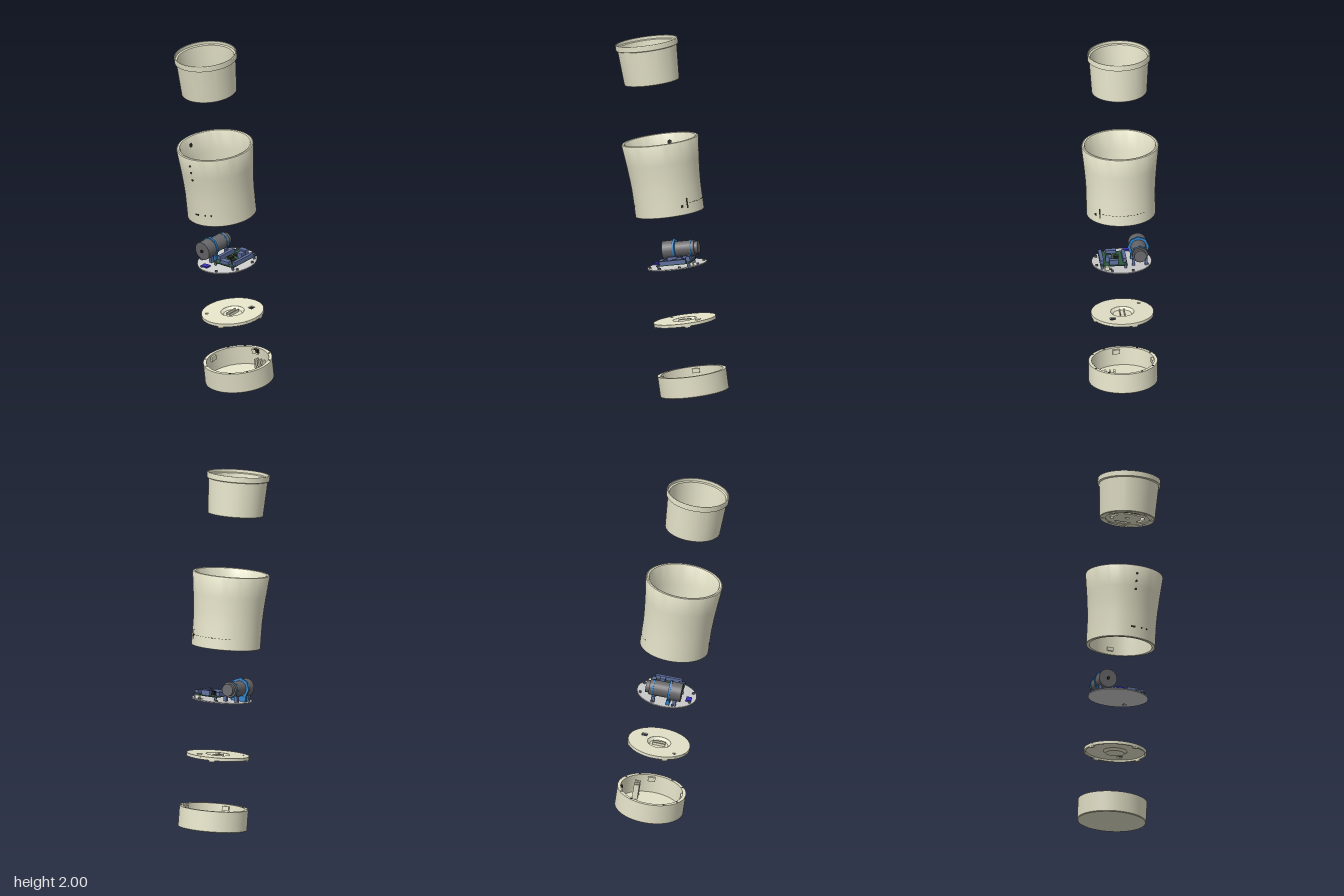
import * as THREE from 'three';
import { toCreasedNormals } from 'three/addons/utils/BufferGeometryUtils.js';

const mat = (color) => new THREE.MeshStandardMaterial({ color });
const cream = mat(0xe4e2c8), grey = mat(0xcccccc), dark = mat(0x2c2a22), steel = mat(0x666669),
  blue = mat(0x2f7fc4), slate = mat(0x5c6c9c), green = mat(0x2f5a40), purple = mat(0x3a30c0);
const RAD = Math.PI / 180;

function add(parent, name, geo, material, x = 0, y = 0, z = 0) {
  const m = new THREE.Mesh(geo, material);
  m.name = name;
  m.position.set(x, y, z);
  parent.add(m);
  return m;
}
const box = (p, name, material, w, h, d, x, y, z) =>
  add(p, name, new THREE.BoxGeometry(w, h, d), material, x, y, z);
const cyl = (p, name, material, r, h, x, y, z, n = 24) =>
  add(p, name, new THREE.CylinderGeometry(r, r, h, n), material, x, y, z);

// closed ring section, listed up the outside and down the inside
function ring(p, name, pts, material = cream) {
  const v = [...pts, pts[0]].map(([r, y]) => new THREE.Vector2(r, y));
  return add(p, name, toCreasedNormals(new THREE.LatheGeometry(v, 72), 0.5), material);
}

// places a part at an angle round the axis, 0 = front, 90 = left
function around(mesh, deg, r, y) {
  mesh.position.set(r * Math.sin(deg * RAD), y, r * Math.cos(deg * RAD));
  mesh.rotation.y = deg * RAD;
  return mesh;
}

const circle = (x, y, r) => new THREE.Path().absarc(x, y, r, 0, Math.PI * 2, true);

// flat disc with holes, bottom at y
function disc(p, name, r, thick, holes, y, material = cream) {
  const s = new THREE.Shape().absarc(0, 0, r, 0, Math.PI * 2, false);
  s.holes.push(...holes);
  const g = new THREE.ExtrudeGeometry(s, { depth: thick, bevelEnabled: false, curveSegments: 32 });
  g.rotateX(-Math.PI / 2);
  return add(p, name, toCreasedNormals(g, 0.5), material, 0, y, 0);
}

// curved slot with round ends
function arcSlot(mid, r, half, w) {
  const a = mid - half, b = mid + half, path = new THREE.Path();
  path.absarc(0, 0, r + w, a, b, false);
  path.absarc(r * Math.cos(b), r * Math.sin(b), w, b, b + Math.PI, false);
  path.absarc(0, 0, r - w, b, a, true);
  path.absarc(r * Math.cos(a), r * Math.sin(a), w, a + Math.PI, a + 2 * Math.PI, false);
  return path;
}

function group(parent, name, y) {
  const g = new THREE.Group();
  g.name = name;
  g.position.y = y;
  parent.add(g);
  return g;
}

function buildBase(root) {
  const g = group(root, 'baseCup', 0);
  ring(g, 'baseWall', [[0.186, 0], [0.19, 0.004], [0.19, 0.117], [0.172, 0.117], [0.172, 0.012], [0.172, 0]]);
  disc(g, 'baseFloor', 0.174, 0.012, [], 0);
  for (let i = 0; i < 12; i++) {
    if (i % 3) around(cyl(g, 'screwHole', dark, 0.006, 0.002, 0, 0, 0, 12), i * 30, 0.181, 0.117);
    else around(box(g, 'wallLug', cream, 0.04, 0.025, 0.014, 0, 0, 0), i * 30 + 8, 0.167, 0.094);
  }
  // bracket posts
  for (const x of [0.055, 0.08, 0.105]) box(g, 'bracketPost', cream, 0.01, 0.09, 0.03, x, 0.055, -0.09);
  box(g, 'bracketBridge', cream, 0.06, 0.05, 0.012, 0.08, 0.035, -0.09);
  box(g, 'backClip', dark, 0.03, 0.02, 0.012, -0.015, 0.1, -0.165);
}

function buildLid(root) {
  const g = group(root, 'innerLid', 0.4);
  const square = new THREE.Path([[0.045, 0.075], [0.045, 0.105], [0.075, 0.105], [0.075, 0.075]]
    .map(([x, y]) => new THREE.Vector2(x, y)));
  disc(g, 'lidPlate', 0.172, 0.007, [circle(0, 0, 0.065), square, circle(-0.1, -0.1, 0.009)], 0.005);
  ring(g, 'lidLip', [[0.172, -0.005], [0.172, 0.006], [0.162, 0.006], [0.162, -0.005]]);
  // shallow centre dish with two fins
  ring(g, 'lidDish', [[0, -0.007], [0.052, -0.007], [0.066, 0.005], [0.066, 0.012], [0.05, -0.002], [0, -0.002]]);
  for (const s of [-1, 1]) box(g, 'dishFin', cream, 0.006, 0.014, 0.07, s * 0.012, 0.005, 0);
  for (const a of [20, 110, 200, 290]) around(box(g, 'lidLug', cream, 0.03, 0.012, 0.012, 0, 0, 0), a, 0.165, -0.007);
}

function buildElectronics(root) {
  const g = group(root, 'electronics', 0.715);
  disc(g, 'mountPlate', 0.165, 0.006, [circle(0.075, 0.1, 0.012)], -0.003, grey);
  for (let i = 0; i < 8; i++) around(cyl(g, 'plateScrew', steel, 0.007, 0.012, 0, 0, 0, 12), i * 45 + 20, 0.15, 0.006);
  // motor lying front to back, held in a clamp
  const m = group(g, 'motor', 0.072);
  m.position.x = -0.095;
  const lying = (name, material, r, len, z, n) => cyl(m, name, material, r, len, 0, 0, z, n).rotateX(Math.PI / 2);
  lying('motorHead', steel, 0.052, 0.06, 0.06);
  lying('motorBody', steel, 0.043, 0.12, -0.03);
  lying('motorCap', steel, 0.034, 0.02, -0.1);
  lying('motorShaft', dark, 0.008, 0.01, 0.094);
  lying('clampRing', blue, 0.06, 0.012, 0.024, 8);
  lying('rearRing', blue, 0.048, 0.008, -0.07, 8);
  box(m, 'clampFoot', blue, 0.09, 0.03, 0.02, 0, -0.057, 0.024);
  for (const x of [-0.035, 0.035]) for (const z of [-0.06, 0.06])
    box(m, 'motorFoot', slate, 0.016, 0.035, 0.02, x, -0.052, z);
  // circuit board and its parts
  box(g, 'circuitBoard', green, 0.15, 0.005, 0.19, 0.05, 0.022, -0.01);
  for (const x of [-0.015, 0.115]) for (const z of [-0.095, 0.075]) cyl(g, 'standOff', slate, 0.007, 0.03, x, 0.015, z, 12);
  const parts = [[0.02, 0.022, 0.15, 0.115, -0.01], [0.02, 0.022, 0.12, -0.012, -0.01], [0.05, 0.028, 0.025, 0.05, -0.085],
    [0.06, 0.02, 0.03, 0.055, 0.065], [0.035, 0.03, 0.03, 0.075, -0.04]];
  for (const [w, h, d, x, z] of parts) box(g, 'connector', slate, w, h, d, x, 0.024 + h / 2, z);
  for (const [x, z] of [[0.03, 0.0], [0.07, 0.02], [0.035, -0.045]]) box(g, 'chip', dark, 0.026, 0.01, 0.026, x, 0.03, z);
  box(g, 'sensorBoard', purple, 0.045, 0.008, 0.03, -0.04, 0.012, 0.128);
  box(g, 'plateClip', cream, 0.024, 0.02, 0.016, 0.09, 0.012, -0.11);
}

function buildSleeve(root) {
  const g = group(root, 'outerSleeve', 1.01);
  ring(g, 'sleeveWall', [[0.188, 0], [0.19, 0.002], [0.19, 0.14], [0.194, 0.21], [0.201, 0.29], [0.213, 0.4],
    [0.211, 0.407], [0.205, 0.41], [0.196, 0.408], [0.192, 0.4], [0.183, 0.29], [0.174, 0.14], [0.172, 0]]);
  disc(g, 'sleeveFloor', 0.176, 0.01, [], 0.11);
  const pin = (name, deg, r, y, radius) => {
    const c = new THREE.CylinderGeometry(radius, radius, 0.003, 14).rotateX(Math.PI / 2);
    return around(add(g, name, c, dark), deg, r, y);
  };
  // indicator holes up the front, ports along the foot
  for (const [y, r] of [[0.275, 0.1995], [0.32, 0.2042], [0.362, 0.2088]]) pin('indicatorHole', 0, r, y, 0.007);
  around(box(g, 'frontPort', dark, 0.026, 0.01, 0.003, 0, 0, 0), 0, 0.1895, 0.062);
  for (const a of [16, 27]) pin('frontPinhole', a, 0.1895, 0.064, 0.005);
  pin('backHole', 128, 0.1895, 0.05, 0.008);
  around(box(g, 'backSlot', dark, 0.009, 0.055, 0.003, 0, 0, 0), 138, 0.1895, 0.062);
  for (let a = 144; a <= 218; a += 6) around(box(g, 'scaleMark', dark, 0.01, 0.003, 0.002, 0, 0, 0), a, 0.1895, 0.062);
  pin('overflowHole', -90, 0.188, 0.36, 0.012);
  for (const a of [60, 180, 300]) around(box(g, 'innerLug', cream, 0.035, 0.02, 0.014, 0, 0, 0), a, 0.169, 0.03);
  // spout standing on the floor
  const spout = add(g, 'waterSpout', new THREE.CylinderGeometry(0.028, 0.018, 0.13, 4, 1).rotateY(Math.PI / 4), dark, -0.01, 0.18, -0.09);
  spout.scale.z = 0.65;
}

function buildPot(root) {
  const g = group(root, 'plantPot', 1.742);
  ring(g, 'potWall', [[0.149, 0], [0.152, 0.003], [0.164, 0.194], [0.173, 0.198], [0.173, 0.225], [0.171, 0.228],
    [0.166, 0.228], [0.166, 0.212], [0.157, 0.208], [0.146, 0.012], [0.146, 0]]);
  const drains = [], slots = [circle(0, 0, 0.012)];
  for (let i = 0; i < 8; i++) {
    const a = (27 + 45 * i) * RAD;
    drains.push(circle(0.135 * Math.cos(a), 0.135 * Math.sin(a), 0.009));
  }
  for (let i = 0; i < 4; i++) slots.push(arcSlot(i * Math.PI / 2, 0.085, 0.45, 0.01));
  disc(g, 'potFloorRim', 0.148, 0.012, [circle(0, 0, 0.12), ...drains], 0);
  disc(g, 'potFloor', 0.122, 0.01, slots, 0.006);
  ring(g, 'floorRidge', [[0.123, 0.008], [0.123, 0.018], [0.118, 0.018], [0.118, 0.008]]);
}

export function createModel() {
  const model = new THREE.Group();
  model.name = 'explodedPlanter';
  // all parts share one axis that leans to the front
  const axis = new THREE.Group();
  axis.name = 'leaningStack';
  axis.position.set(0, 0.0265, -0.128);
  axis.rotation.x = 0.14;
  model.add(axis);
  for (const build of [buildBase, buildLid, buildElectronics, buildSleeve, buildPot]) build(axis);
  return model;
}
